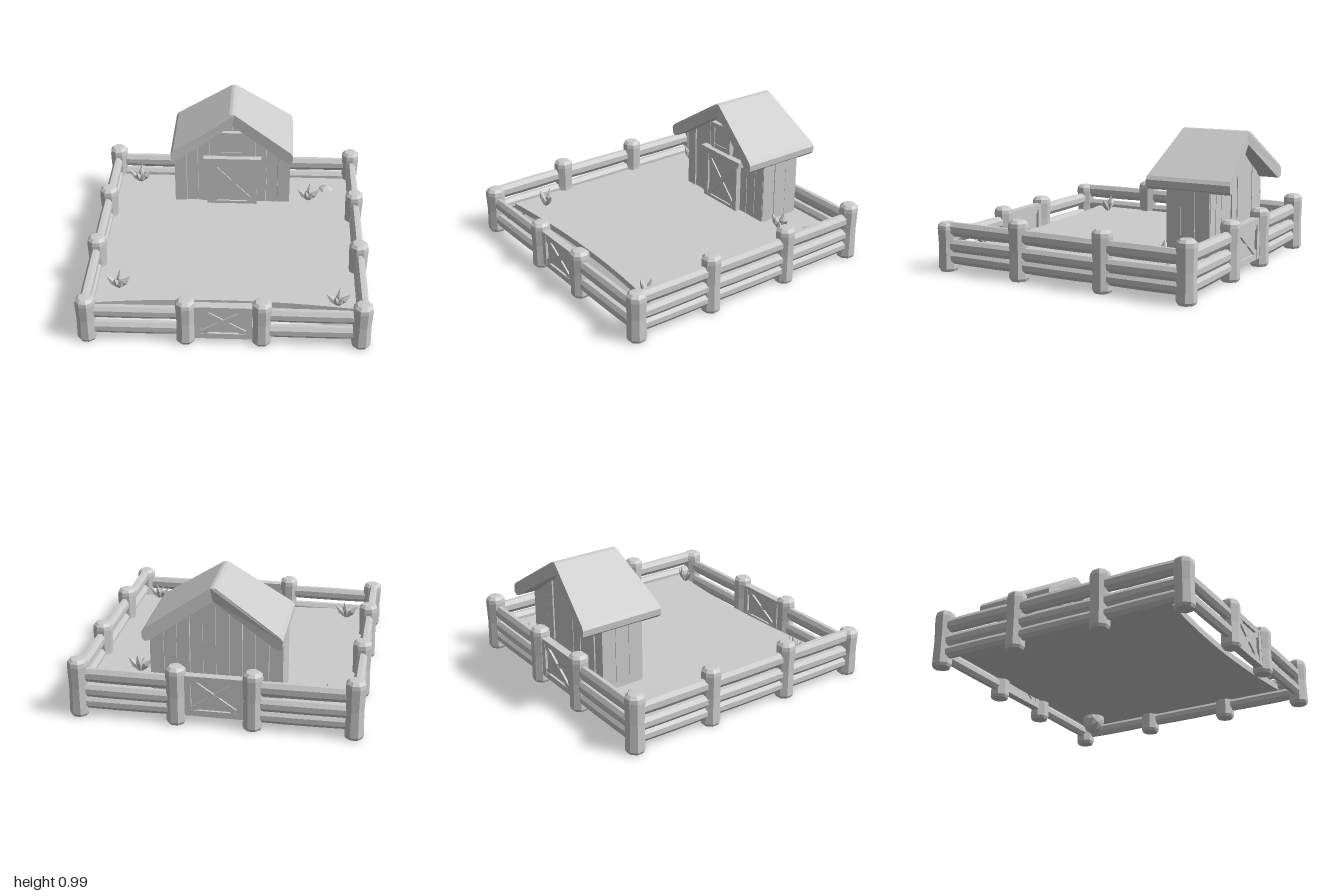
import * as THREE from 'three';

const material = new THREE.MeshStandardMaterial({ color: 0xcccccc, flatShading: true });

let seed = 7;
const wobble = (amount) => {
  seed = (seed * 16807) % 2147483647;
  return (seed / 2147483647 - 0.5) * 2 * amount;
};

function add(parent, name, geometry, x = 0, y = 0, z = 0) {
  const mesh = new THREE.Mesh(geometry, material);
  mesh.name = name;
  mesh.position.set(x, y, z);
  parent.add(mesh);
  return mesh;
}

function group(parent, name) {
  const g = new THREE.Group();
  g.name = name;
  parent.add(g);
  return g;
}

// Rounded, slightly uneven timber post standing on the floor
function post(parent, x, z, top) {
  const h = top - 0.014;
  const profile = [[0, 0], [0.058, 0], [0.068, 0.02], [0.064, h * 0.5], [0.07, h - 0.05], [0.066, h - 0.022], [0.045, h - 0.003], [0, h]]
    .map(([r, y]) => new THREE.Vector2(r, y));
  const mesh = add(parent, 'post', new THREE.LatheGeometry(profile, 8), x, 0.014, z);
  mesh.rotation.y = Math.PI / 8 + wobble(0.12);
}

// Flattened log between two points at the same height
function rail(parent, x1, z1, x2, z2, y, height) {
  const length = Math.hypot(x2 - x1, z2 - z1);
  const geometry = new THREE.CylinderGeometry(1, 1, length, 8, 3);
  geometry.rotateY(Math.PI / 8);
  geometry.rotateZ(Math.PI / 2);
  geometry.scale(1, (height / 2) * 1.08, 0.036);
  // gentle swelling toward the middle of the log
  const p = geometry.attributes.position;
  for (let i = 0; i < p.count; i++) {
    const s = 0.95 + 0.08 * Math.cos((p.getX(i) / length) * Math.PI);
    p.setXYZ(i, p.getX(i), p.getY(i) * s, p.getZ(i) * s);
  }
  const mesh = add(parent, 'rail', geometry, (x1 + x2) / 2, y, (z1 + z2) / 2);
  mesh.rotation.y = -Math.atan2(z2 - z1, x2 - x1);
  mesh.rotateZ(wobble(0.008));
}

// Rectangular frame of four boards, centred on the group's origin
function frame(parent, w, h, board, depth) {
  for (const s of [-1, 1]) {
    add(parent, 'frameSide', new THREE.BoxGeometry(board, h, depth), s * (w - board) / 2, 0, 0);
    add(parent, 'frameBoard', new THREE.BoxGeometry(w - board, board, depth * 0.96), 0, s * (h - board) / 2, 0);
  }
}

// Boarded panel with a frame and crossed braces
function bracedPanel(parent, name, x, y, z, w, h, depth) {
  const g = group(parent, name);
  g.position.set(x, y, z);
  add(g, 'panel', new THREE.BoxGeometry(w - 0.02, h - 0.02, depth * 0.4));
  frame(g, w, h, 0.042, depth);
  const iw = w - 0.07, ih = h - 0.07;
  for (const s of [-1, 1]) {
    const brace = add(g, 'brace', new THREE.BoxGeometry(Math.hypot(iw, ih), 0.038, depth * (s > 0 ? 0.9 : 0.8)));
    brace.rotation.z = s * Math.atan2(ih, iw);
  }
}

function extrude(points, depth) {
  const shape = new THREE.Shape(points.map(([x, y]) => new THREE.Vector2(x, y)));
  return new THREE.ExtrudeGeometry(shape, { depth, bevelEnabled: false });
}

function buildFence(root) {
  const fence = group(root, 'fence');
  const E = 0.925, lowRails = [[0.245, 0.092], [0.115, 0.092]];
  const highRails = [[0.312, 0.098], [0.197, 0.09], [0.112, 0.085]];
  // front and back runs, each with a gate in the middle bay
  for (const [z, top, rails] of [[0.92, 0.36, lowRails], [-0.92, 0.43, highRails]]) {
    for (const s of [-1, 1]) {
      post(fence, s * E, z, top);
      post(fence, s * 0.257, z, top);
      for (const [y, h] of rails) rail(fence, s * 0.24, z, s * 0.92, z, y, h);
    }
  }
  bracedPanel(fence, 'frontGate', 0, 0.18, 0.915, 0.39, 0.265, 0.06);
  bracedPanel(fence, 'backGate', 0, 0.225, -0.915, 0.39, 0.29, 0.06);
  // side runs
  for (const s of [-1, 1]) {
    for (const z of [0.325, -0.32]) post(fence, s * E, z, 0.43);
    const stops = [0.92, 0.325, -0.32, -0.92];
    for (let i = 0; i < 3; i++)
      for (const [y, h] of highRails) rail(fence, s * 0.93, stops[i], s * 0.93, stops[i + 1], y, h);
  }
}

function buildGround(root) {
  // yard slab with a curved front edge
  const shape = new THREE.Shape();
  shape.moveTo(-0.91, 0.89);
  shape.lineTo(-0.91, -0.775);
  shape.quadraticCurveTo(0, -0.655, 0.91, -0.775);
  shape.lineTo(0.91, 0.89);
  const geometry = new THREE.ExtrudeGeometry(shape, { depth: 0.045, bevelEnabled: false, curveSegments: 16 });
  geometry.rotateX(-Math.PI / 2);
  add(root, 'ground', geometry, 0, 0.15, 0);
  // boulder sunk through the yard
  const rock = new THREE.IcosahedronGeometry(1, 1);
  rock.scale(0.085, 0.105, 0.085);
  add(root, 'rock', rock, 0.735, 0.12, -0.73);
}

function buildBarn(root) {
  const barn = group(root, 'barn');
  // walls of vertical planks cut to the roof slope
  const count = 10, half = 0.437, w = (2 * half) / count;
  const topAt = (x) => 0.94 - 0.665 * Math.abs(x);
  for (let i = 0; i < count; i++) {
    const a = -half + i * w, b = a + w - 0.003;
    const front = -0.53 + wobble(0.006), back = -0.85 + wobble(0.006);
    add(barn, 'wallPlank', extrude([[a, 0.16], [b, 0.16], [b, topAt(b)], [a, topAt(a)]], front - back), 0, 0, back);
  }
  for (const s of [-1, 1])
    for (let i = 0; i < 3; i++)
      add(barn, 'sidePlank', new THREE.BoxGeometry(0.012, 0.5, 0.102), s * (half + wobble(0.002)), 0.41, -0.585 - i * 0.105);

  // thick gabled roof whose eaves run longer than its ridge
  const right = [[0.02, 0.995], [0.44, 0.715], [0.458, 0.69], [0.455, 0.645], [0.435, 0.625], [0.41, 0.632]];
  const left = right.map(([x, y]) => [-x, y]).reverse();
  const roof = extrude([[0, 1], ...right, [0, 0.905], ...left], 2);
  roof.translate(0, 0, -1);
  const p = roof.attributes.position;
  for (let i = 0; i < p.count; i++)
    p.setZ(i, -0.69 + p.getZ(i) * (0.24 + 0.065 * Math.abs(p.getX(i)) / 0.455));
  roof.computeVertexNormals();
  add(barn, 'roof', roof);

  // door with its lintel
  bracedPanel(barn, 'barnDoor', 0, 0.37, -0.515, 0.38, 0.39, 0.05);
  add(barn, 'lintel', new THREE.BoxGeometry(0.44, 0.045, 0.065), 0, 0.578, -0.511);

  // loft window
  const loft = group(barn, 'loftWindow');
  loft.position.set(-0.008, 0.718, -0.515);
  frame(loft, 0.215, 0.2, 0.034, 0.045);
  add(loft, 'shutter', new THREE.BoxGeometry(0.16, 0.15, 0.03));
}

// Spiky tuft: leaves fanned out from one root
function tuft(root, x, z, scale) {
  const plant = group(root, 'plant');
  plant.position.set(x, 0.19, z);
  plant.scale.setScalar(scale);
  for (const [turn, lean, length] of [[0, 0.7, 0.14], [Math.PI, 0.7, 0.14], [1.2, 0.25, 0.15], [3.9, 0.35, 0.11], [5.4, 0.5, 0.1]]) {
    const profile = [[0.008, 0], [0.024, length * 0.5], [0, length]].map(([r, y]) => new THREE.Vector2(r, y));
    const leaf = add(plant, 'leaf', new THREE.LatheGeometry(profile, 5));
    leaf.rotation.set(0, turn, -lean, 'YXZ');
  }
}

export function createModel() {
  const root = new THREE.Group();
  root.name = 'farmyard';
  buildGround(root);
  buildFence(root);
  buildBarn(root);
  for (const [x, z, s] of [[-0.745, -0.79, 1], [0.59, -0.57, 0.95], [-0.745, 0.595, 0.95], [0.77, 0.73, 0.9]]) tuft(root, x, z, s);
  return root;
}
